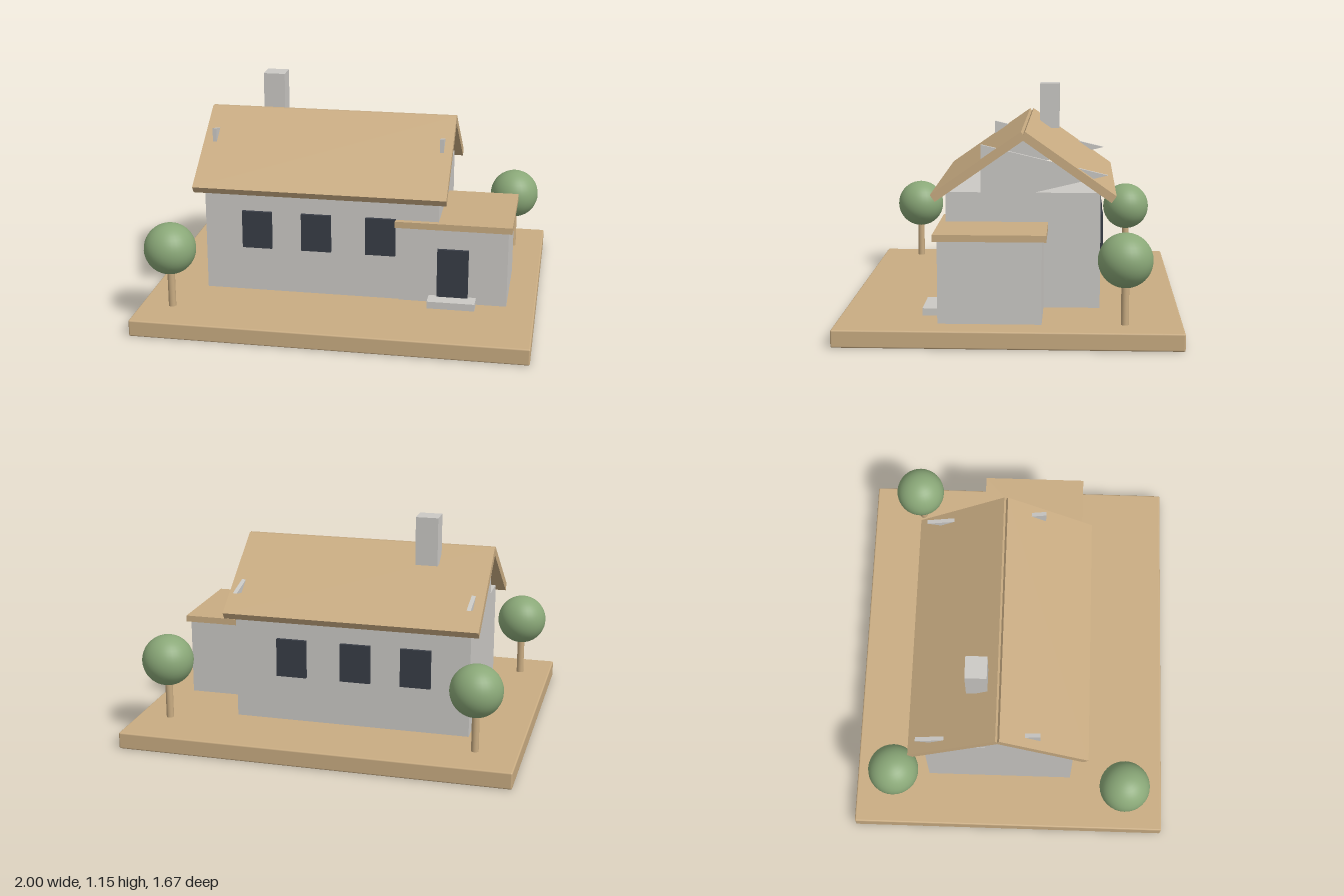
import * as THREE from 'three';
import { RoundedBoxGeometry } from 'three/addons/geometries/RoundedBoxGeometry.js';

const material = (name, color) => {
  const m = new THREE.MeshStandardMaterial({ color });
  m.name = name;
  return m;
};

export function createModel() {
  const tan = material('tan', 0xc9ac82);
  const plaster = material('plaster', 0xcbc9c5);
  const glass = material('darkGlass', 0x383d46);
  const leaf = material('leafGreen', 0x8aa878);

  const model = new THREE.Group();
  model.name = 'house';

  const add = (name, geometry, mat, x = 0, y = 0, z = 0) => {
    const mesh = new THREE.Mesh(geometry, mat);
    mesh.name = name;
    mesh.position.set(x, y, z);
    model.add(mesh);
    return mesh;
  };
  // Box given by its minimum and maximum along each axis
  const box = (name, mat, [x0, x1], [y0, y1], [z0, z1]) =>
    add(name, new THREE.BoxGeometry(x1 - x0, y1 - y0, z1 - z0), mat,
      (x0 + x1) / 2, (y0 + y1) / 2, (z0 + z1) / 2);

  const groundTop = 0.086;
  const ridgeZ = -0.056;

  // Ground slab with softened edges
  add('ground', new RoundedBoxGeometry(2, groundTop, 1.666, 3, 0.008), tan, 0, groundTop / 2, 0);

  // Main house and side annex
  box('houseWalls', plaster, [-0.722, 0.497], [groundTop, 0.669], [-0.44, 0.332]);
  box('annexWalls', plaster, [0.296, 0.853], [groundTop, 0.488], [-0.158, 0.341]);
  box('annexRoof', tan, [0.275, 0.872], [0.488, 0.521], [-0.18, 0.362]);

  // Two roof slabs crossing at the ridge
  const pitch = 0.611;
  for (const side of [1, -1]) {
    const slab = add(side > 0 ? 'frontRoof' : 'backRoof',
      new THREE.BoxGeometry(1.31, 0.042, 0.552), tan, -0.115, 0.801, ridgeZ + side * 0.224);
    slab.rotation.x = side * pitch;
  }

  // Tilted triangular gable panels that poke through the roof
  const gable = new THREE.Shape([
    new THREE.Vector2(ridgeZ - 0.42, 0.757),
    new THREE.Vector2(ridgeZ + 0.212, 0.605),
    new THREE.Vector2(ridgeZ + 0.212, 0.907),
  ]);
  const gableGeometry = new THREE.ExtrudeGeometry(gable, { depth: 0.021, bevelEnabled: false });
  gableGeometry.rotateY(-Math.PI / 2);
  add('rightGable', gableGeometry, plaster, -0.701);
  add('leftGable', gableGeometry, plaster, 0.497);

  // Chimney
  box('chimney', plaster, [-0.505, -0.391], [0.9, 1.147], [-0.222, -0.114]);

  // Windows on the front and back walls
  for (const x of [-0.447, -0.136, 0.199]) {
    box('frontWindow', glass, [x - 0.078, x + 0.078], [0.326, 0.525], [0.33, 0.349]);
    box('backWindow', glass, [x - 0.078, x + 0.078], [0.326, 0.525], [-0.457, -0.438]);
  }

  // Door and doorstep
  box('door', glass, [0.495, 0.655], [0.122, 0.381], [0.339, 0.357]);
  box('doorstep', plaster, [0.453, 0.697], [groundTop, 0.123], [0.339, 0.43]);

  // Trees
  const trunk = new THREE.CylinderGeometry(0.019, 0.019, 0.24, 20);
  const crown = new THREE.SphereGeometry(0.132, 32, 20);
  for (const [x, z] of [[-0.836, 0.61], [-0.783, -0.61], [0.831, -0.555]]) {
    add('treeTrunk', trunk, tan, x, groundTop + 0.12, z);
    add('treeCrown', crown, leaf, x, 0.399, z);
  }

  return model;
}
